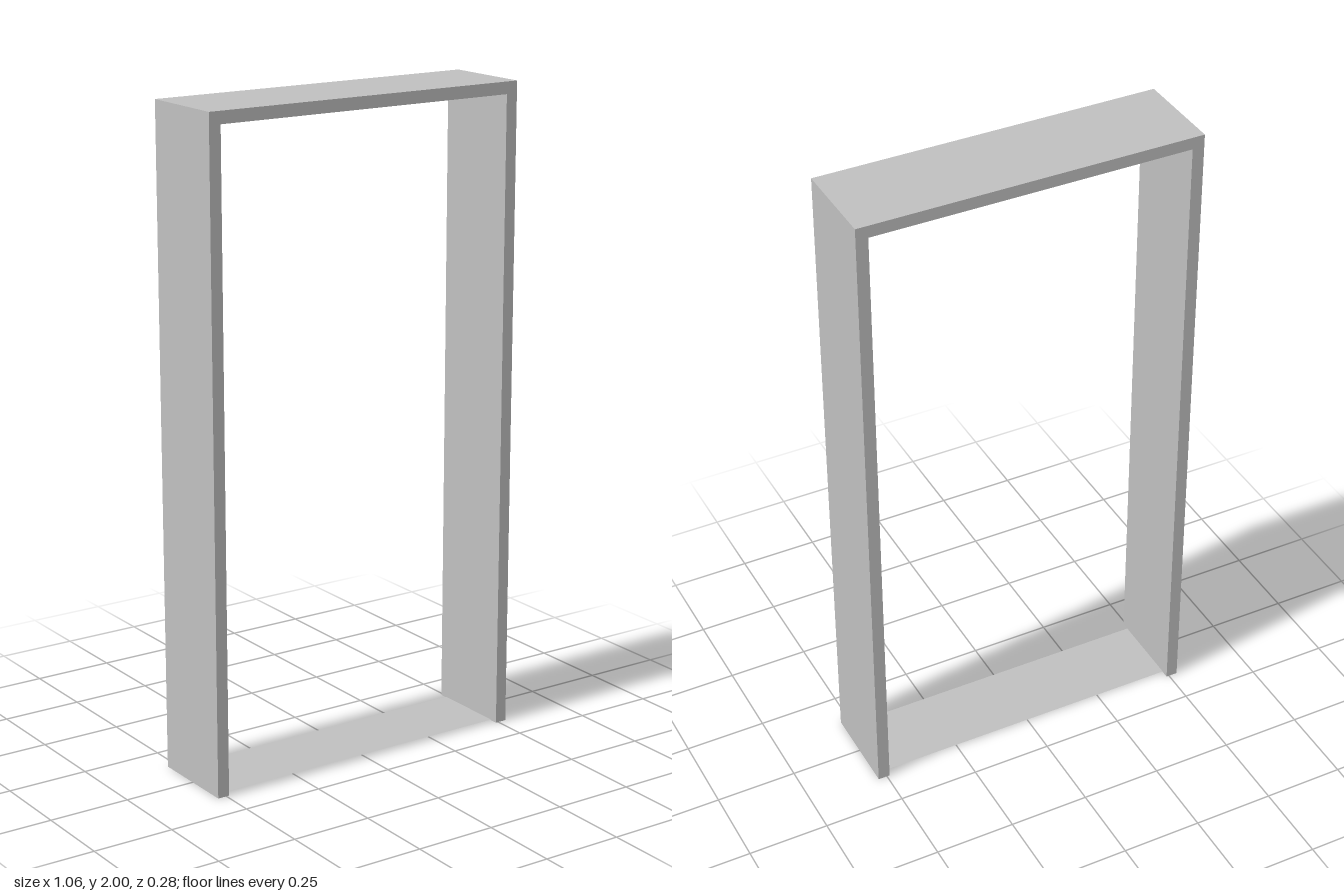
import * as THREE from 'three';

const W = 0.528;   // half width
const H = 2;       // height
const D = 0.142;   // half depth
const T = 0.037;   // board thickness
const INSET = 0.025; // floor inset from the front and back edges

export function createModel() {
  const model = new THREE.Group();
  model.name = 'doorFrame';
  const grey = new THREE.MeshStandardMaterial({ color: 0xc0c0c0, side: THREE.DoubleSide });
  grey.name = 'light grey';

  const add = (name, geometry, x, y, z, rx = 0, ry = 0) => {
    const mesh = new THREE.Mesh(geometry, grey);
    mesh.name = name;
    mesh.position.set(x, y, z);
    mesh.rotation.set(rx, ry, 0);
    model.add(mesh);
  };
  const plane = (w, h) => new THREE.PlaneGeometry(w, h);
  const inner = W - T;

  // Upside-down U on the front and back
  const outline = new THREE.Shape([
    [-W, 0], [-inner, 0], [-inner, H - T], [inner, H - T],
    [inner, 0], [W, 0], [W, H], [-W, H],
  ].map(([x, y]) => new THREE.Vector2(x, y)));
  add('frontFace', new THREE.ShapeGeometry(outline), 0, 0, D);
  add('backFace', new THREE.ShapeGeometry(outline), 0, 0, -D, 0, Math.PI);

  // Header top and underside
  add('headerTop', plane(2 * W, 2 * D), 0, H, 0, -Math.PI / 2);
  add('headerUnderside', plane(2 * inner, 2 * D), 0, H - T, 0, Math.PI / 2);

  // Hollow posts, open below between small end caps
  for (const [side, s] of [['left', 1], ['right', -1]]) {
    add(side + 'PostOuter', plane(2 * D, H), s * W, H / 2, 0, 0, s * Math.PI / 2);
    add(side + 'PostInner', plane(2 * D, H - T), s * inner, (H - T) / 2, 0, 0, -s * Math.PI / 2);
    for (const e of [1, -1]) {
      add(side + 'PostFoot', plane(T, INSET), s * (W - T / 2), 0, e * (D - INSET / 2), Math.PI / 2);
    }
  }

  // Thin floor between the posts
  add('floor', plane(2 * inner, 2 * (D - INSET)), 0, 0.002, 0, -Math.PI / 2);

  return model;
}
